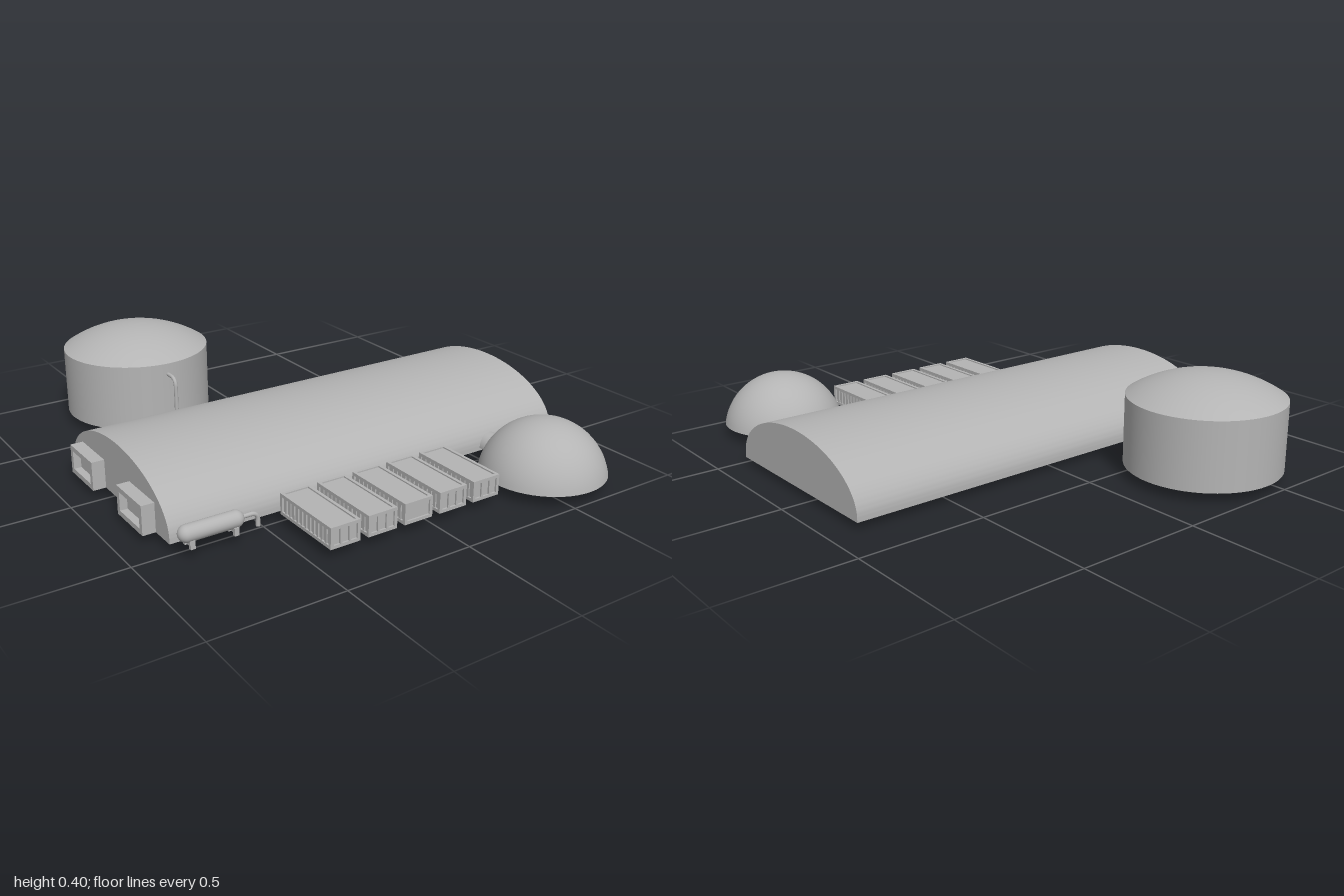
import * as THREE from 'three';
import { toCreasedNormals } from 'three/addons/utils/BufferGeometryUtils.js';

const grey = new THREE.MeshStandardMaterial({ color: 0xb4b4b4 });
grey.name = 'plain grey';
const greyShell = new THREE.MeshStandardMaterial({ color: 0xb4b4b4, side: THREE.DoubleSide });
greyShell.name = 'plain grey shell';

const v3 = (x, y, z) => new THREE.Vector3(x, y, z);

function add(parent, name, geometry, x = 0, y = 0, z = 0, material = grey) {
  const mesh = new THREE.Mesh(geometry, material);
  mesh.name = name;
  mesh.position.set(x, y, z);
  parent.add(mesh);
  return mesh;
}

const box = (parent, name, w, h, d, x, y, z) =>
  add(parent, name, new THREE.BoxGeometry(w, h, d), x, y, z);

// Points along a spherical cap, from rim to apex
function capPoints(radius, height, base, steps) {
  const R = (radius * radius + height * height) / (2 * height);
  const full = Math.acos((R - height) / R);
  return Array.from({ length: steps + 1 }, (_, i) => {
    const a = full * (1 - i / steps);
    return new THREE.Vector2(R * Math.sin(a), base + height - R + R * Math.cos(a));
  });
}

// Pipe with a rounded right-angle bend at its corner
function pipe(parent, name, start, corner, end, bend, radius) {
  const path = new THREE.CurvePath();
  const a = corner.clone().add(start.clone().sub(corner).setLength(bend));
  const b = corner.clone().add(end.clone().sub(corner).setLength(bend));
  path.add(new THREE.LineCurve3(start, a));
  path.add(new THREE.QuadraticBezierCurve3(a, corner, b));
  path.add(new THREE.LineCurve3(b, end));
  add(parent, name, new THREE.TubeGeometry(path, 32, radius, 12), 0, 0, 0, greyShell);
}

// Long arched hall with flat ends
function buildHall(parent) {
  const shape = new THREE.Shape();
  shape.moveTo(-0.4, 0.028);
  shape.lineTo(0.4, 0.028);
  shape.lineTo(0.4, 0.045);
  shape.absellipse(0, 0.045, 0.4, 0.203, 0, Math.PI, false);
  shape.closePath();
  const geo = new THREE.ExtrudeGeometry(shape, { depth: 1.74, bevelEnabled: false, curveSegments: 48 });
  geo.rotateY(Math.PI / 2);
  add(parent, 'archedHall', toCreasedNormals(geo, 0.5), -0.85, 0, 0.08);
}

// Porch: a hollow frame with a recessed door, opening to -x
function buildPorch(parent, z) {
  const g = new THREE.Group();
  g.name = 'entrancePorch';
  g.position.set(-0.86, 0.084, z);
  const t = 0.02, w = 0.195, h = 0.112, d = 0.08;
  for (const s of [-1, 1]) {
    box(g, 'porchSide', d, h, t, 0, 0, s * (w - t) / 2);
    box(g, 'porchBeam', d, t, w - 2 * t, 0, s * (h - t) / 2, 0);
  }
  box(g, 'porchDoor', 0.05, h - 2 * t, w - 2 * t, 0.014, 0, 0);
  parent.add(g);
}

// Cargo container: recessed body inside an edge frame
function buildContainer(parent, x, turned) {
  const g = new THREE.Group();
  g.name = 'container';
  g.position.set(x, 0.079, 0.668);
  if (turned) g.rotation.y = Math.PI;
  const w = 0.12, h = 0.08, d = 0.305, t = 0.012;
  box(g, 'containerBody', w - 0.014, h - 0.01, d - 0.014, 0, 0, 0);
  box(g, 'containerFloor', w - 0.004, 0.008, d - 0.004, 0, -h / 2 + 0.004, 0);
  for (const a of [-1, 1]) {
    for (const b of [-1, 1]) {
      const px = a * (w - t) / 2, pz = b * (d - t) / 2, py = b * (h - t) / 2;
      box(g, 'cornerPost', t, h, t, px, 0, pz);
      box(g, 'longRail', t, t, d - 2 * t, px, py, 0);
      box(g, 'crossRail', w - 2 * t, t, t, 0, py, a * (d - t) / 2);
    }
    // Side ribs
    for (let i = -5; i <= 5; i++) {
      box(g, 'sideRib', 0.007, h - 2 * t, 0.01, a * (w / 2 - 0.0055), 0, i * 0.024);
    }
    // Door bars
    box(g, 'doorBar', 0.008, h - 2 * t, 0.008, a * 0.018, 0, d / 2 - 0.004);
  }
  parent.add(g);
}

// Small horizontal gas cylinder on legs with an outlet pipe
function buildGasTank(parent) {
  const g = new THREE.Group();
  g.name = 'gasTank';
  const body = add(g, 'gasCylinder', new THREE.CapsuleGeometry(0.031, 0.183, 10, 24), -0.728, 0.09, 0.545);
  body.rotation.z = Math.PI / 2;
  for (const x of [-0.81, -0.645]) {
    box(g, 'saddle', 0.02, 0.018, 0.05, x, 0.062, 0.545);
    for (const s of [-1, 1]) box(g, 'leg', 0.018, 0.03, 0.012, x, 0.055, 0.545 + s * 0.021);
  }
  pipe(g, 'outletPipe', v3(-0.62, 0.09, 0.545), v3(-0.548, 0.09, 0.545), v3(-0.548, 0.038, 0.545), 0.03, 0.008);
  parent.add(g);
}

export function createModel() {
  const model = new THREE.Group();
  model.name = 'outpost';

  buildHall(model);
  for (const z of [-0.125, 0.282]) buildPorch(model, z);
  for (let i = 0; i < 5; i++) buildContainer(model, -0.38 + i * 0.153, i === 2);
  buildGasTank(model);

  // Open-bottomed dome
  add(model, 'dome', new THREE.LatheGeometry(capPoints(0.24, 0.2, 0.045, 20), 48), 0.573, 0, 0.76, greyShell);

  // Half-round tunnel between hall and dome
  const tunnel = new THREE.CylinderGeometry(0.052, 0.052, 0.11, 24, 1, false, 0, Math.PI);
  tunnel.rotateZ(Math.PI / 2).rotateY(Math.PI / 2);
  add(model, 'tunnel', tunnel, 0.563, 0.04, 0.5, greyShell);

  // Storage tank: floor, wall and shallow domed roof
  const x = -0.395, z = -0.7;
  const floor = new THREE.CircleGeometry(0.3, 64).rotateX(Math.PI / 2);
  add(model, 'tankFloor', floor, x, 0.04, z);
  add(model, 'tankWall', new THREE.CylinderGeometry(0.3, 0.3, 0.268, 64, 1, true), x, 0.174, z);
  add(model, 'tankRoof', new THREE.LatheGeometry(capPoints(0.3, 0.09, 0.308, 12), 64), x, 0, z);
  pipe(model, 'tankPipe', v3(x, 0, -0.338), v3(x, 0.262, -0.338), v3(x, 0.262, -0.41), 0.035, 0.008);

  return model;
}
